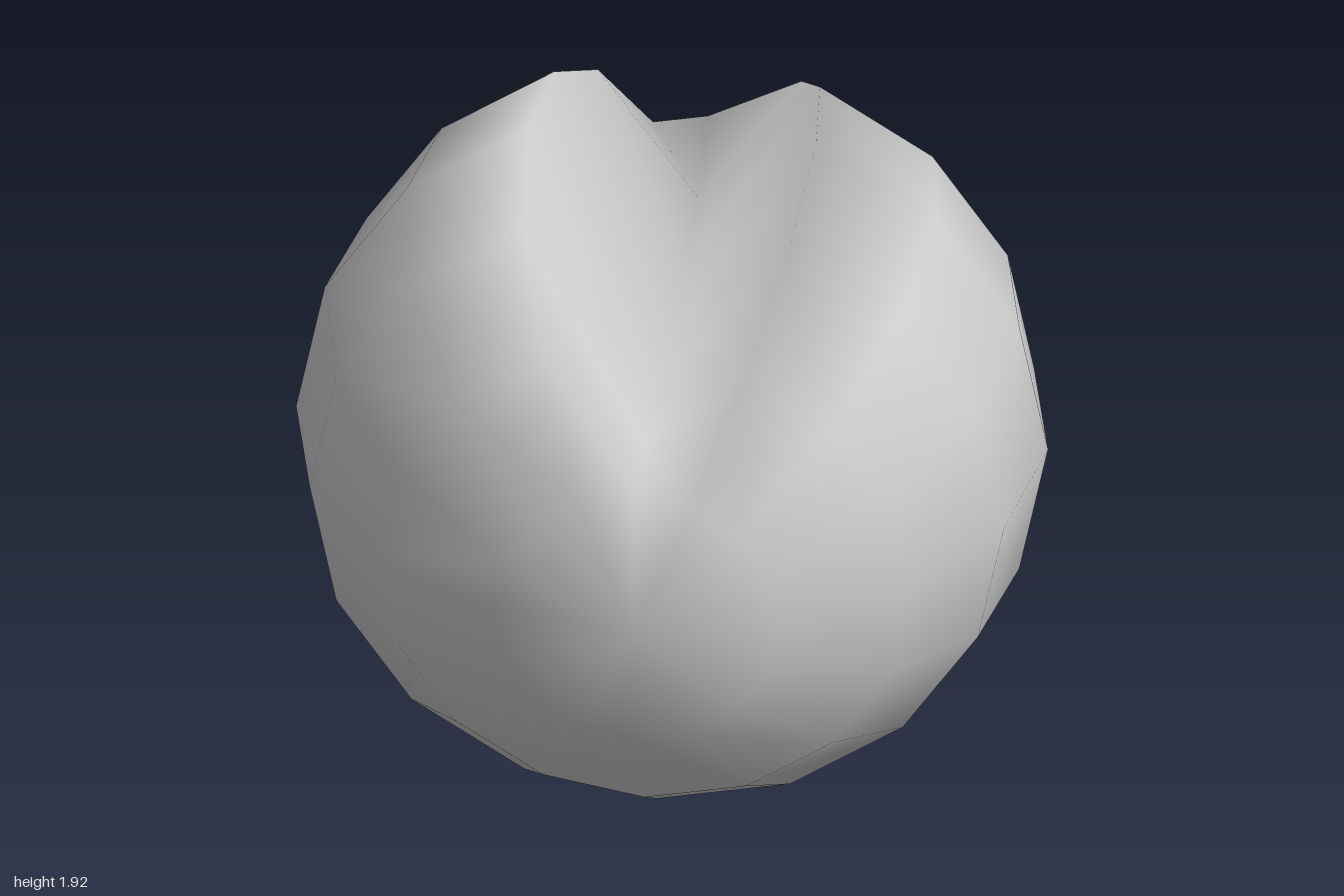
import * as THREE from 'three';
import { mergeVertices } from 'three/addons/utils/BufferGeometryUtils.js';

// Height of the cleft floor along z, from back to front
const floor = [[-0.71, 0.26], [-0.38, 0.28], [0, 0.32], [0.38, 0.37], [0.71, 0.41]];

function floorHeight(z) {
  const nearest = floor.reduce((a, b) => (Math.abs(b[0] - z) < Math.abs(a[0] - z) ? b : a));
  return nearest[1];
}

export function createModel() {
  const group = new THREE.Group();
  group.name = 'cleftBall';

  // Low-poly sphere with its poles at front and back
  let geometry = new THREE.SphereGeometry(1, 16, 8).rotateX(Math.PI / 2);
  geometry.deleteAttribute('uv');
  geometry.deleteAttribute('normal');
  geometry = mergeVertices(geometry, 1e-4);

  // Push the top middle line down to form the V-shaped cleft
  const p = geometry.attributes.position;
  for (let i = 0; i < p.count; i++) {
    if (Math.abs(p.getX(i)) < 0.01 && p.getY(i) > 0.5) p.setY(i, floorHeight(p.getZ(i)));
  }
  geometry.computeVertexNormals();

  const material = new THREE.MeshStandardMaterial({ color: 0xcccccc, side: THREE.DoubleSide });
  const ball = new THREE.Mesh(geometry, material);
  ball.name = 'ball';
  ball.position.y = 1;
  group.add(ball);
  return group;
}
